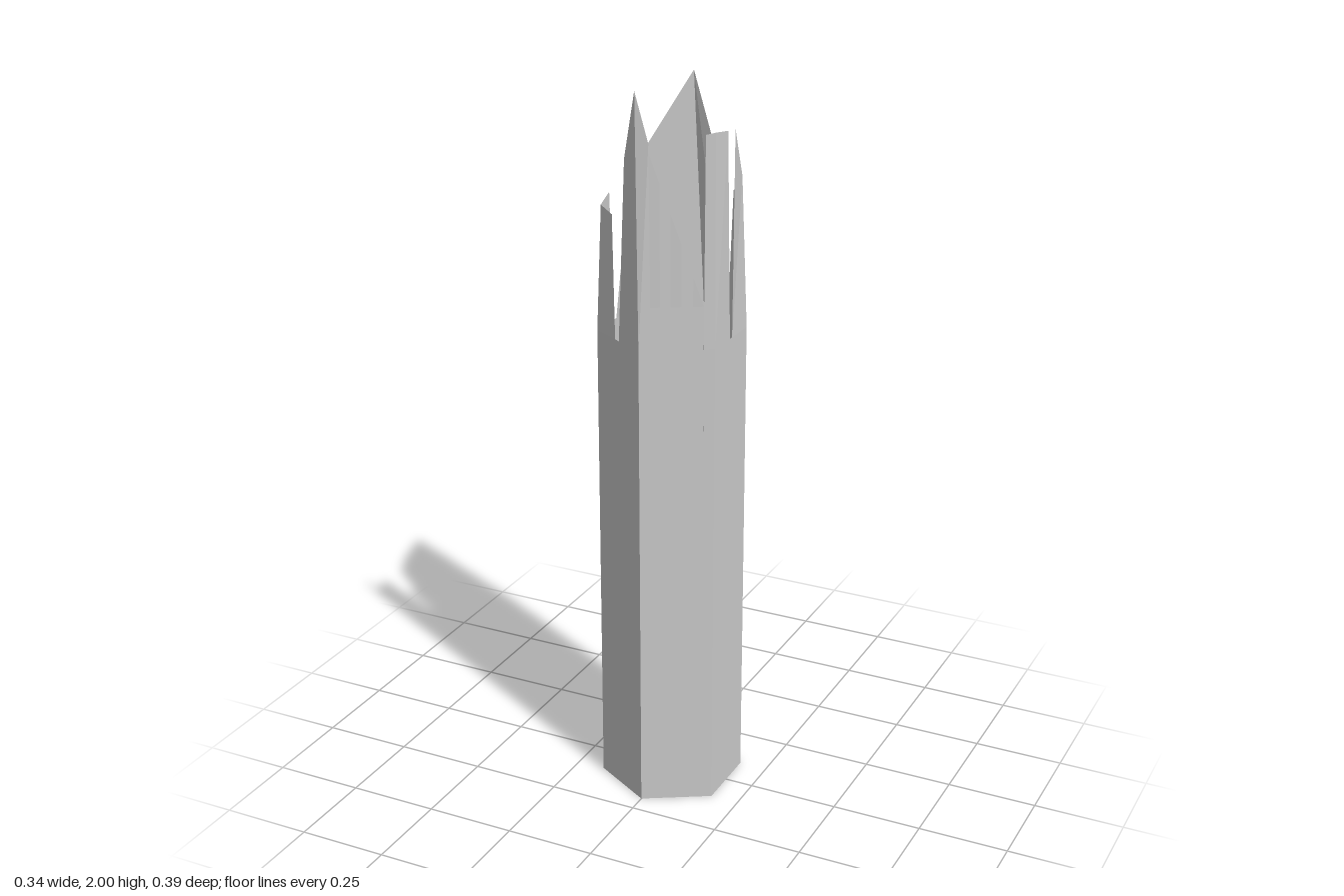
import * as THREE from 'three';
import { mergeGeometries } from 'three/addons/utils/BufferGeometryUtils.js';

const R = 0.197; // hexagon radius
const BREAK = 1.33; // height where the broken crown begins to lean inward

// Corner i of the hexagon: 0 is the front, then turning toward +x
const corner = (i, y) => {
  const a = (i * Math.PI) / 3;
  return new THREE.Vector3(Math.sin(a) * R, y, Math.cos(a) * R);
};
// Point on side i, t from its first corner to its second
const onSide = (i, t, y) => corner(i, y).lerp(corner(i + 1, y), t);
const v = (p) => new THREE.Vector3(...p);

// Convex polygon as a triangle fan, corners counter-clockwise from outside
function fan(points) {
  const tris = [];
  for (let k = 1; k < points.length - 1; k++) tris.push(points[0], points[k], points[k + 1]);
  const g = new THREE.BufferGeometry().setFromPoints(tris);
  g.computeVertexNormals();
  return g;
}

export function createModel() {
  const group = new THREE.Group();
  const material = new THREE.MeshStandardMaterial({
    color: 0xcccccc, flatShading: true, side: THREE.DoubleSide,
  });
  const add = (name, polygons) => {
    const mesh = new THREE.Mesh(mergeGeometries(polygons.map(fan)), material);
    mesh.name = name;
    group.add(mesh);
  };

  // Leaning tip above each hexagon corner
  const tips = [
    [-0.012, 2.0, 0.187], [0.166, 1.895, 0.095], [0.157, 1.74, -0.089],
    [-0.023, 1.98, -0.176], [-0.13, 1.78, -0.11], [-0.16, 1.67, 0.09],
  ];
  const tip = (i) => v(tips[i % 6]);

  // Sides split by one narrow notch: tooth tops either side of it
  const notched = [
    { i: 1, name: 'rightWall', t: [0.46, 0.53], l: [0.169, 1.885, 0.028], r: [0.167, 1.88, -0.02] },
    { i: 2, name: 'backRightWall', t: [0.44, 0.53], l: [0.12, 1.69, -0.117], r: [0.04, 1.81, -0.157] },
    { i: 4, name: 'leftWall', t: [0.45, 0.53], l: [-0.15, 1.68, -0.045], r: [-0.164, 1.69, 0.035] },
    { i: 5, name: 'frontLeftWall', t: [0.44, 0.53], l: [-0.11, 1.66, 0.125], r: [-0.055, 1.82, 0.161] },
  ];
  for (const { i, name, t, l, r } of notched) {
    add(name, [
      [corner(i, 0), corner(i + 1, 0), corner(i + 1, BREAK), corner(i, BREAK)],
      [corner(i, BREAK), onSide(i, t[0], BREAK), v(l), tip(i)],
      [onSide(i, t[1], BREAK), corner(i + 1, BREAK), tip(i + 1), v(r)],
    ]);
  }

  // Unbroken side with a slanting top edge
  add('backLeftWall', [
    [corner(3, 0), corner(4, 0), corner(4, BREAK), corner(3, BREAK)],
    [corner(3, BREAK), corner(4, BREAK), tip(4), tip(3)],
  ]);

  // Side cut by three long slots: [start, end, floor height]
  const slots = [[0.16, 0.28, 0.945], [0.42, 0.56, 0.765], [0.71, 0.85, 0.945]];
  const quad = (t0, t1, y0, y1) => [
    onSide(0, t0, y0), onSide(0, t1, y0), onSide(0, t1, y1), onSide(0, t0, y1),
  ];
  const [first, middle, last] = slots;
  add('slottedWall', [
    ...slots.map(([a, b, floor]) => quad(a, b, 0, floor)),
    quad(first[1], middle[0], 0, 1.885),
    quad(middle[1], last[0], 0, 1.885),
    quad(0, first[0], 0, BREAK),
    [corner(0, BREAK), onSide(0, first[0], BREAK), v([0.023, 1.87, 0.181]), tip(0)],
    quad(last[1], 1, 0, BREAK),
    [onSide(0, last[1], BREAK), corner(1, BREAK), tip(1), v([0.145, 1.89, 0.108])],
  ]);

  return group;
}
